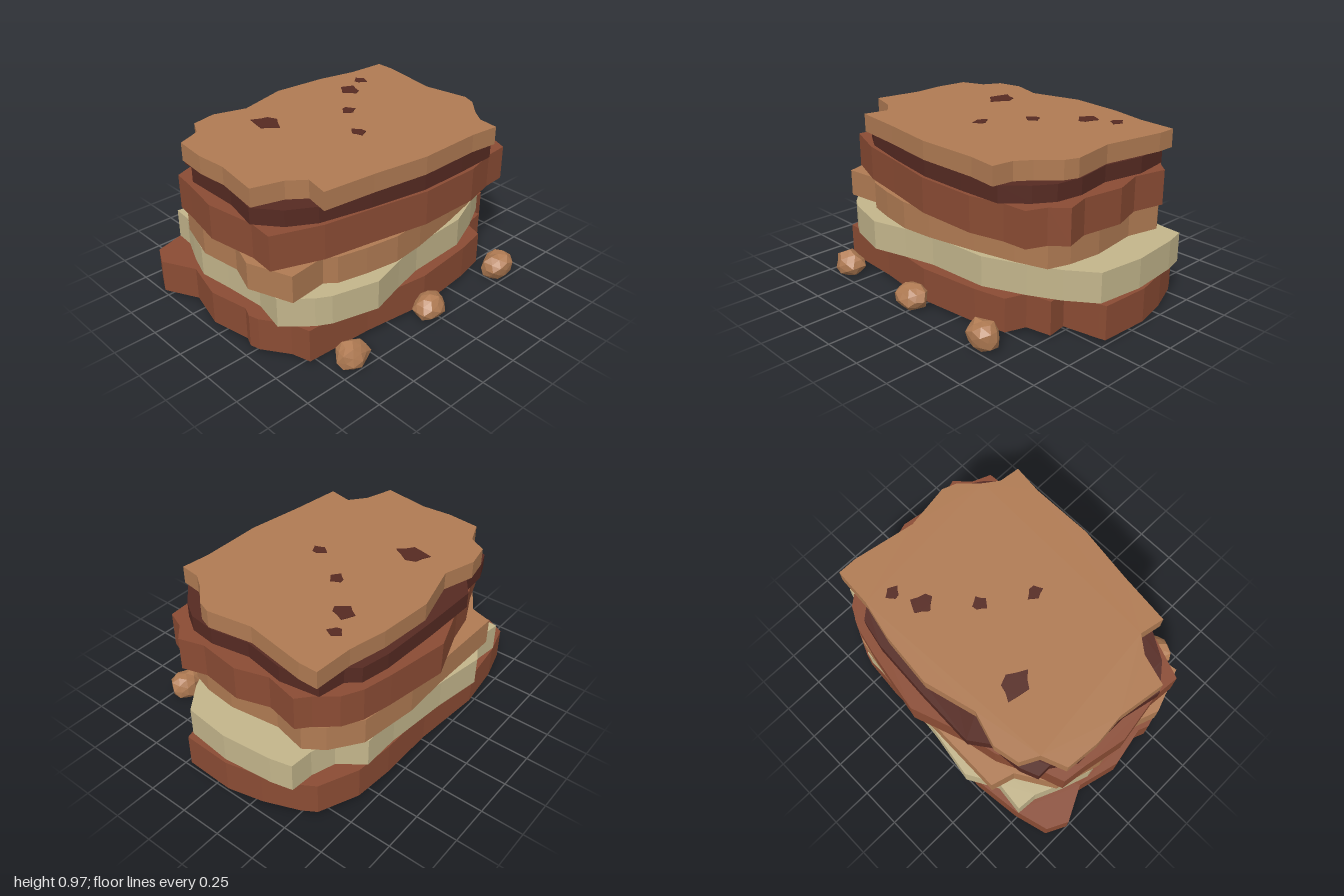
import * as THREE from 'three';

const paint = (name, color) => {
  const m = new THREE.MeshStandardMaterial({ color, flatShading: true });
  m.name = name;
  return m;
};

// Flat slab from an outline of [x, z] points, resting at y0
function slab(name, outline, y0, y1, material) {
  const shape = new THREE.Shape(outline.map(([x, z]) => new THREE.Vector2(x, -z)));
  const geo = new THREE.ExtrudeGeometry(shape, { depth: y1 - y0, bevelEnabled: false });
  geo.rotateX(-Math.PI / 2);
  geo.translate(0, y0, 0);
  const mesh = new THREE.Mesh(geo, material);
  mesh.name = name;
  return mesh;
}

// Lumpy faceted crumb with a flat underside
function crumb(x, z, rx, height, rz, seed, material) {
  const geo = new THREE.IcosahedronGeometry(1, 1);
  const p = geo.attributes.position;
  const v = new THREE.Vector3();
  for (let i = 0; i < p.count; i++) {
    v.fromBufferAttribute(p, i);
    const lump = 0.94 + 0.09 * Math.sin(5.1 * v.x + 7.3 * v.y + 6.2 * v.z + seed);
    v.multiplyScalar(lump);
    p.setXYZ(i, v.x * rx, (Math.max(v.y, -0.72) + 0.72) * height / 1.7, v.z * rz);
  }
  geo.computeVertexNormals();
  const mesh = new THREE.Mesh(geo, material);
  mesh.name = 'crumb';
  mesh.position.set(x, 0, z);
  return mesh;
}

export function createModel() {
  const group = new THREE.Group();
  group.name = 'layeredStack';
  const tan = paint('toasted tan', 0xb07b53);
  const brown = paint('red brown', 0x8b4c34);
  const cream = paint('cream', 0xc3b58b);
  const dark = paint('dark brown', 0x562a22);

  // Layers from the bottom up
  group.add(slab('baseLayer', [
    [-1, -0.53], [-0.94, -0.65], [-0.74, -0.705], [-0.45, -0.74], [0, -0.7], [0.35, -0.7],
    [0.59, -0.68], [0.82, -0.58], [0.87, -0.5], [0.95, -0.3], [1, -0.09], [0.99, 0.21],
    [0.95, 0.22], [0.74, 0.26], [0.76, 0.38], [0.61, 0.41], [0.57, 0.53], [0.38, 0.57],
    [0, 0.61], [-0.4, 0.56], [-0.8, 0.54], [-0.83, 0.43], [-0.93, 0.28], [-0.945, 0.22],
    [-0.92, 0.16], [-0.965, -0.08], [-0.9, -0.33]], 0.02, 0.22, brown));

  group.add(slab('creamLayer', [
    [-0.77, -0.58], [-0.76, -0.7], [-0.58, -0.68], [-0.405, -0.78], [-0.1, -0.73], [0.3, -0.69],
    [0.53, -0.69], [0.64, -0.55], [0.78, -0.505], [0.92, -0.495], [0.95, -0.37], [0.98, -0.07],
    [0.95, 0.21], [0.79, 0.33], [0.62, 0.42], [0.38, 0.52], [0, 0.54], [-0.19, 0.585],
    [-0.405, 0.645], [-0.67, 0.575], [-0.75, 0.53], [-0.895, 0.4], [-0.85, 0.2],
    [-0.87, -0.05], [-0.895, -0.26], [-0.84, -0.42]], 0.22, 0.395, cream));

  group.add(slab('tanLayer', [
    [-0.83, -0.47], [-0.62, -0.6], [-0.58, -0.735], [-0.09, -0.725], [0.2, -0.73], [0.55, -0.68],
    [0.72, -0.56], [0.795, -0.45], [0.75, -0.25], [0.79, 0.05], [0.77, 0.25], [0.73, 0.38],
    [0.55, 0.44], [0.3, 0.5], [0, 0.56], [-0.2, 0.58], [-0.4, 0.55], [-0.57, 0.51],
    [-0.63, 0.46], [-0.855, 0.485], [-0.945, 0.23], [-0.88, 0.05], [-0.91, -0.2]], 0.395, 0.555, tan));

  group.add(slab('brownLayer', [
    [-0.865, -0.47], [-0.7, -0.53], [-0.5, -0.625], [-0.31, -0.665], [0, -0.775], [0.38, -0.71],
    [0.555, -0.67], [0.67, -0.61], [0.76, -0.5], [0.83, -0.44], [0.785, -0.24], [0.845, -0.05],
    [0.81, 0.2], [0.855, 0.35], [0.77, 0.43], [0.725, 0.54], [0.58, 0.55], [0.38, 0.6],
    [0, 0.6], [-0.35, 0.53], [-0.63, 0.48], [-0.905, 0.375], [-0.89, 0.22], [-0.935, -0.08],
    [-0.885, -0.33]], 0.555, 0.76, brown));

  group.add(slab('darkLayer', [
    [-0.76, -0.48], [-0.76, -0.56], [-0.66, -0.6], [-0.47, -0.615], [-0.36, -0.695], [0, -0.685],
    [0.35, -0.665], [0.52, -0.63], [0.58, -0.56], [0.74, -0.53], [0.775, -0.3], [0.73, -0.05],
    [0.77, 0.18], [0.75, 0.34], [0.68, 0.45], [0.56, 0.57], [0.3, 0.58], [0, 0.58],
    [-0.34, 0.52], [-0.64, 0.45], [-0.79, 0.36], [-0.9, 0.22], [-0.85, 0], [-0.85, -0.35]],
    0.76, 0.855, dark));

  group.add(slab('topLayer', [
    [-0.705, -0.495], [-0.65, -0.6], [-0.5, -0.63], [-0.305, -0.57], [0, -0.65], [0.325, -0.62],
    [0.55, -0.57], [0.785, -0.555], [0.785, -0.44], [0.72, -0.07], [0.765, 0.2], [0.735, 0.28],
    [0.63, 0.39], [0.57, 0.475], [0.555, 0.6], [0.38, 0.58], [0, 0.585], [-0.34, 0.535],
    [-0.65, 0.5], [-0.62, 0.355], [-0.715, 0.28], [-0.893, 0.225], [-0.85, -0.055],
    [-0.865, -0.24], [-0.845, -0.44]], 0.855, 0.962, tan));

  // Ragged dark flecks on the top face
  const ragged = [1, 0.75, 1.05, 0.7, 0.95, 0.8, 1.1, 0.7, 0.9];
  [[-0.35, -0.32, 0.075, 0.1], [0.33, -0.36, 0.06, 0.07], [0.49, -0.43, 0.04, 0.045],
    [0.11, -0.135, 0.045, 0.045], [-0.055, 0.12, 0.04, 0.05]].forEach(([x, z, rx, rz], k) => {
    const outline = ragged.map((r, i) => {
      const a = (i / ragged.length) * Math.PI * 2 + k * 1.7;
      return [x + Math.cos(a) * rx * r, z + Math.sin(a) * rz * r];
    });
    group.add(slab('fleck', outline, 0.96, 0.966, dark));
  });

  // Crumbs along the front
  group.add(crumb(-0.63, 0.68, 0.108, 0.145, 0.085, 0.4, tan));
  group.add(crumb(-0.03, 0.68, 0.11, 0.15, 0.085, 2.3, tan));
  group.add(crumb(0.57, 0.685, 0.11, 0.16, 0.09, 4.1, tan));
  return group;
}
